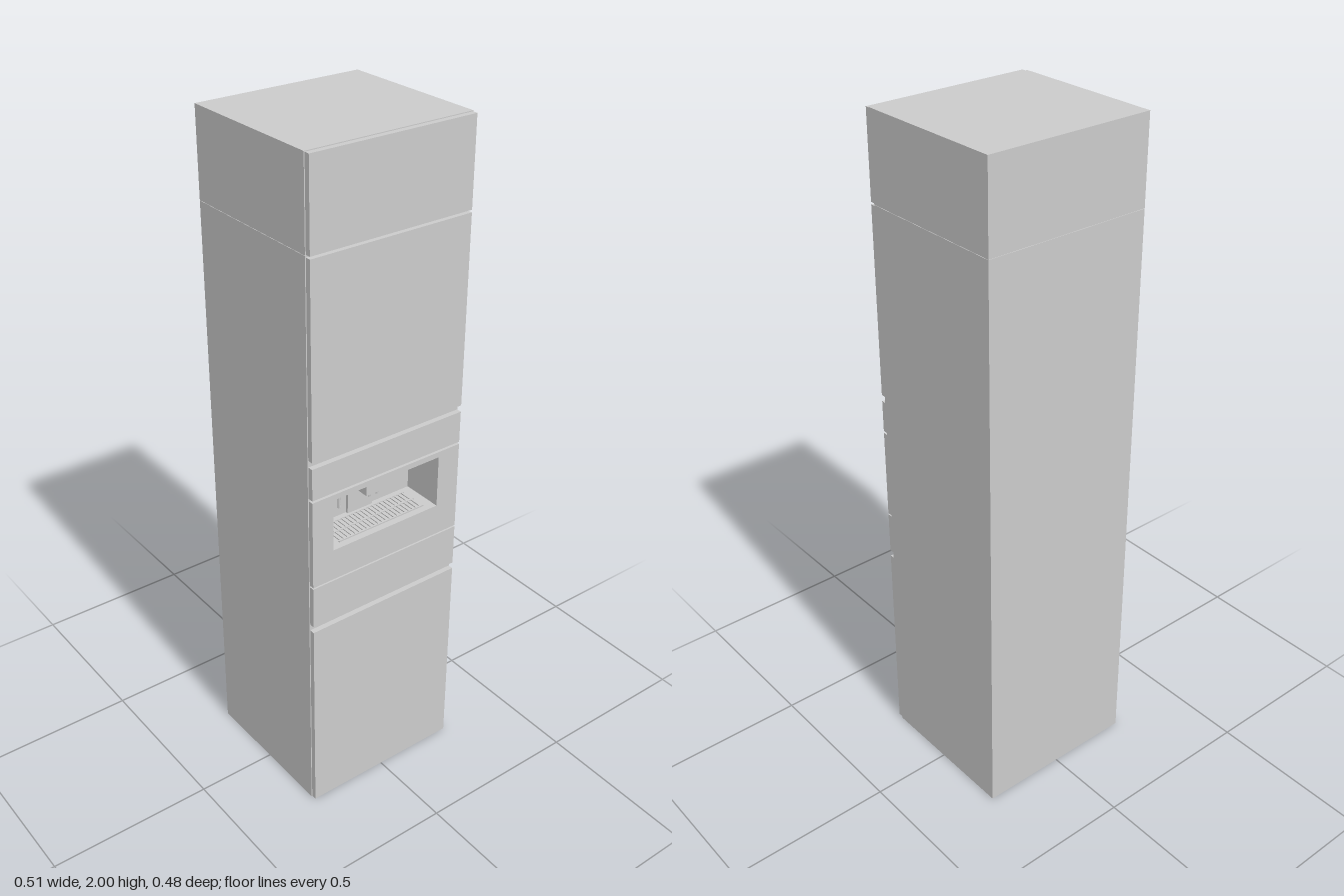
import * as THREE from 'three';

const material = new THREE.MeshStandardMaterial({ color: 0xcccccc, side: THREE.DoubleSide });

// niche opening and depth
const N = { x0: -0.185, x1: 0.18, y0: 0.885, y1: 1.045, back: 0.11 };
const FACE = 0.238, CARCASS = 0.221;

function add(parent, name, geometry) {
  const mesh = new THREE.Mesh(geometry, material);
  mesh.name = name;
  parent.add(mesh);
  return mesh;
}

// box given by its minimum and maximum on each axis
function block(x0, x1, y0, y1, z0, z1) {
  return new THREE.BoxGeometry(x1 - x0, y1 - y0, z1 - z0)
    .translate((x0 + x1) / 2, (y0 + y1) / 2, (z0 + z1) / 2);
}

// the same box without its front face
function openBlock(...limits) {
  const g = block(...limits);
  const index = Array.from(g.index.array);
  index.splice(24, 6);
  g.setIndex(index);
  g.clearGroups();
  return g;
}

// rectangle with the niche opening cut out
function pierced(x, y0, y1) {
  const shape = new THREE.Shape();
  shape.moveTo(-x, y0).lineTo(x, y0).lineTo(x, y1).lineTo(-x, y1).closePath();
  const hole = new THREE.Path();
  hole.moveTo(N.x0, N.y0).lineTo(N.x0, N.y1).lineTo(N.x1, N.y1).lineTo(N.x1, N.y0).closePath();
  shape.holes.push(hole);
  return shape;
}

export function createModel() {
  const model = new THREE.Group();
  model.name = 'tallCabinet';

  // carcass with an opening for the appliance, and the separate top box
  add(model, 'carcass', openBlock(-0.256, 0.256, 0, 1.747, -0.24, CARCASS));
  add(model, 'carcassFront', new THREE.ShapeGeometry(pierced(0.256, 0, 1.747)).translate(0, 0, CARCASS));
  add(model, 'topBox', block(-0.256, 0.256, 1.748, 2, -0.24, CARCASS));

  // door and drawer fronts: name, bottom, top
  const fronts = [
    ['lowerDoor', 0.003, 0.635],
    ['drawerFront', 0.655, 0.784],
    ['controlPanel', 1.069, 1.165],
    ['upperDoor', 1.185, 1.743],
    ['topDoor', 1.75, 1.998],
  ];
  for (const [name, y0, y1] of fronts) {
    add(model, name, block(-0.254, 0.254, y0, y1, CARCASS + 0.001, FACE));
  }

  // built-in coffee machine
  const machine = new THREE.Group();
  machine.name = 'coffeeMachine';
  model.add(machine);
  add(machine, 'machineFront',
    new THREE.ExtrudeGeometry(pierced(0.254, 0.789, 1.062), { depth: FACE - CARCASS - 0.001, bevelEnabled: false })
      .translate(0, 0, CARCASS + 0.001));
  add(machine, 'niche', openBlock(N.x0, N.x1, N.y0, N.y1, N.back, CARCASS + 0.001));
  add(machine, 'backColumn', block(-0.045, 0.042, N.y0, N.y1, N.back, N.back + 0.008));

  // brewing head with knob and two spouts
  add(machine, 'brewHead', block(-0.04, 0.04, 0.98, N.y1, N.back, 0.195));
  const knob = add(machine, 'knob', new THREE.CylinderGeometry(0.015, 0.015, 0.006, 32).rotateX(Math.PI / 2));
  knob.position.set(-0.002, 1.025, 0.198);
  for (const x of [-0.014, 0.012]) {
    const spout = add(machine, 'spout', new THREE.CylinderGeometry(0.006, 0.004, 0.02, 16));
    spout.position.set(x, 0.971, 0.175);
  }

  // milk wand hanging on the left
  const wandPath = new THREE.CatmullRomCurve3([
    new THREE.Vector3(-0.11, N.y1, 0.16),
    new THREE.Vector3(-0.11, 1.0, 0.16),
    new THREE.Vector3(-0.108, 0.955, 0.165),
  ]);
  add(machine, 'wand', new THREE.TubeGeometry(wandPath, 10, 0.003, 10));
  const tip = add(machine, 'wandTip', new THREE.CylinderGeometry(0.005, 0.004, 0.05, 16));
  tip.position.set(-0.109, 0.977, 0.162);

  // drip tray grille on the niche floor
  for (let i = 0; i < 22; i++) {
    const x = -0.145 + i * 0.0135;
    add(machine, 'grilleBar', block(x, x + 0.006, N.y0, N.y0 + 0.003, 0.13, 0.215));
  }
  for (const z of [0.127, 0.17, 0.213]) {
    add(machine, 'grilleRail', block(-0.15, 0.15, N.y0, N.y0 + 0.004, z, z + 0.004));
  }
  return model;
}
